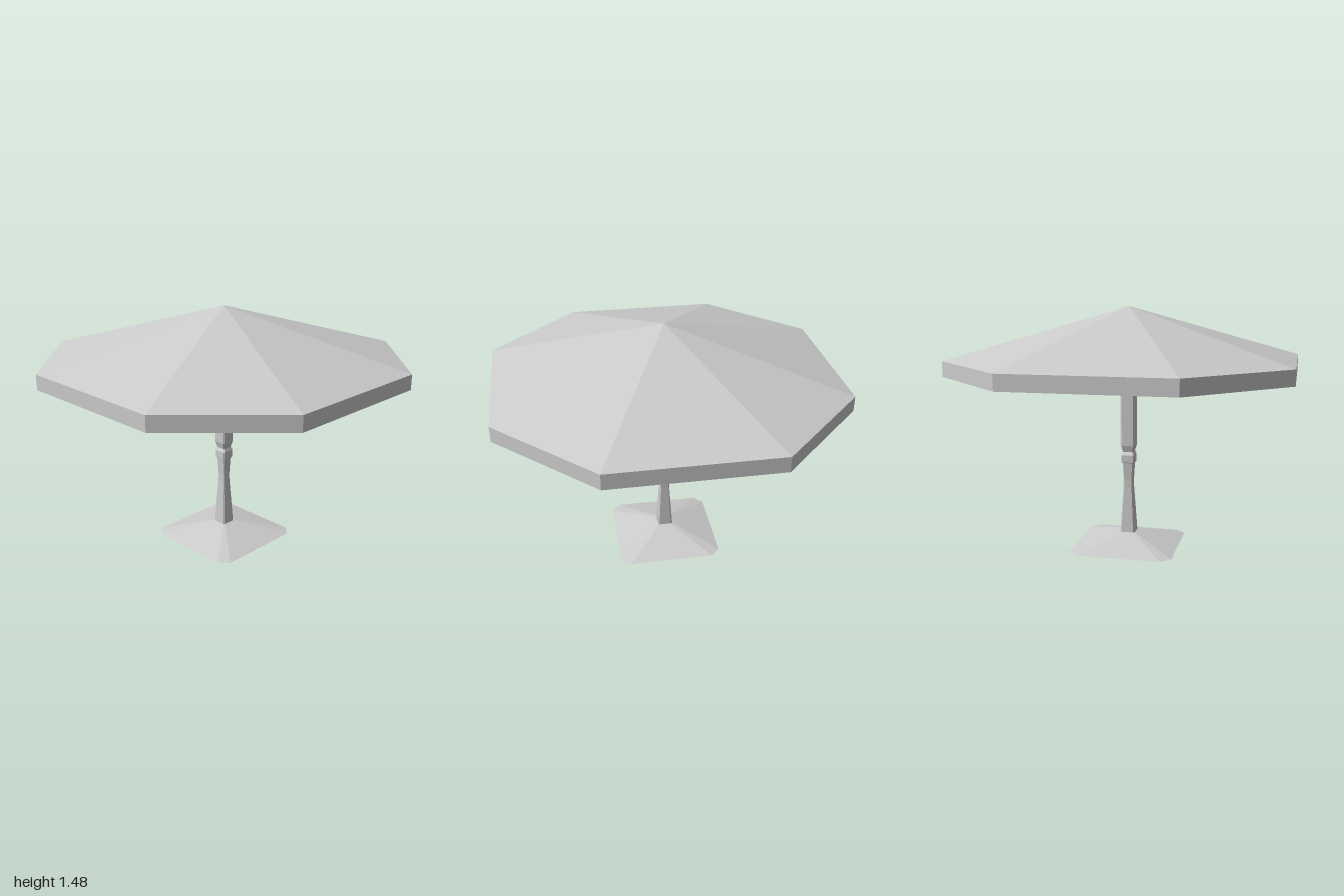
import * as THREE from 'three';

// Square outline with cut corners, as eight [x, z] points
function outline(half, cut) {
  const a = half - cut;
  return [[half, -a], [half, a], [a, half], [-a, half],
    [-half, a], [-half, -a], [-a, -half], [a, -half]];
}

// Faceted skin through [half width, y] rings; cut is a share of the half width
function loft(name, profile, cut, material) {
  const rings = profile.map(([half, y]) =>
    outline(half, half * cut).map(([x, z]) => [x, y, z]));
  const pos = [];
  for (let i = 0; i < rings.length - 1; i++) {
    for (let j = 0; j < 8; j++) {
      const k = (j + 1) % 8;
      const lo = rings[i], hi = rings[i + 1];
      if (profile[i][0] > 0) pos.push(...lo[j], ...hi[j], ...lo[k]);
      if (profile[i + 1][0] > 0) pos.push(...lo[k], ...hi[j], ...hi[k]);
    }
  }
  const geometry = new THREE.BufferGeometry();
  geometry.setAttribute('position', new THREE.Float32BufferAttribute(pos, 3));
  geometry.computeVertexNormals();
  const mesh = new THREE.Mesh(geometry, material);
  mesh.name = name;
  return mesh;
}

export function createModel() {
  const group = new THREE.Group();
  group.name = 'parasol';
  const material = new THREE.MeshStandardMaterial({
    color: 0xcccccc, flatShading: true, side: THREE.DoubleSide,
  });

  // Octagonal canopy: shallow hollow underside, upright rim, pitched top
  group.add(loft('canopy', [[0, 1.28], [1, 1.08], [1, 1.17], [0, 1.48]], 0.53, material));

  // Pole: flared foot, narrow waist, collar, then a straight upper shaft
  group.add(loft('pole', [
    [0.047, 0.08], [0.038, 0.22], [0.029, 0.36], [0.028, 0.41], [0.034, 0.52],
    [0.042, 0.525], [0.042, 0.57], [0.033, 0.59], [0.044, 0.63], [0.044, 1.28],
  ], 0.2, material));

  // Open pyramid foot
  group.add(loft('base', [[0.315, 0], [0.047, 0.08]], 0.18, material));

  return group;
}
